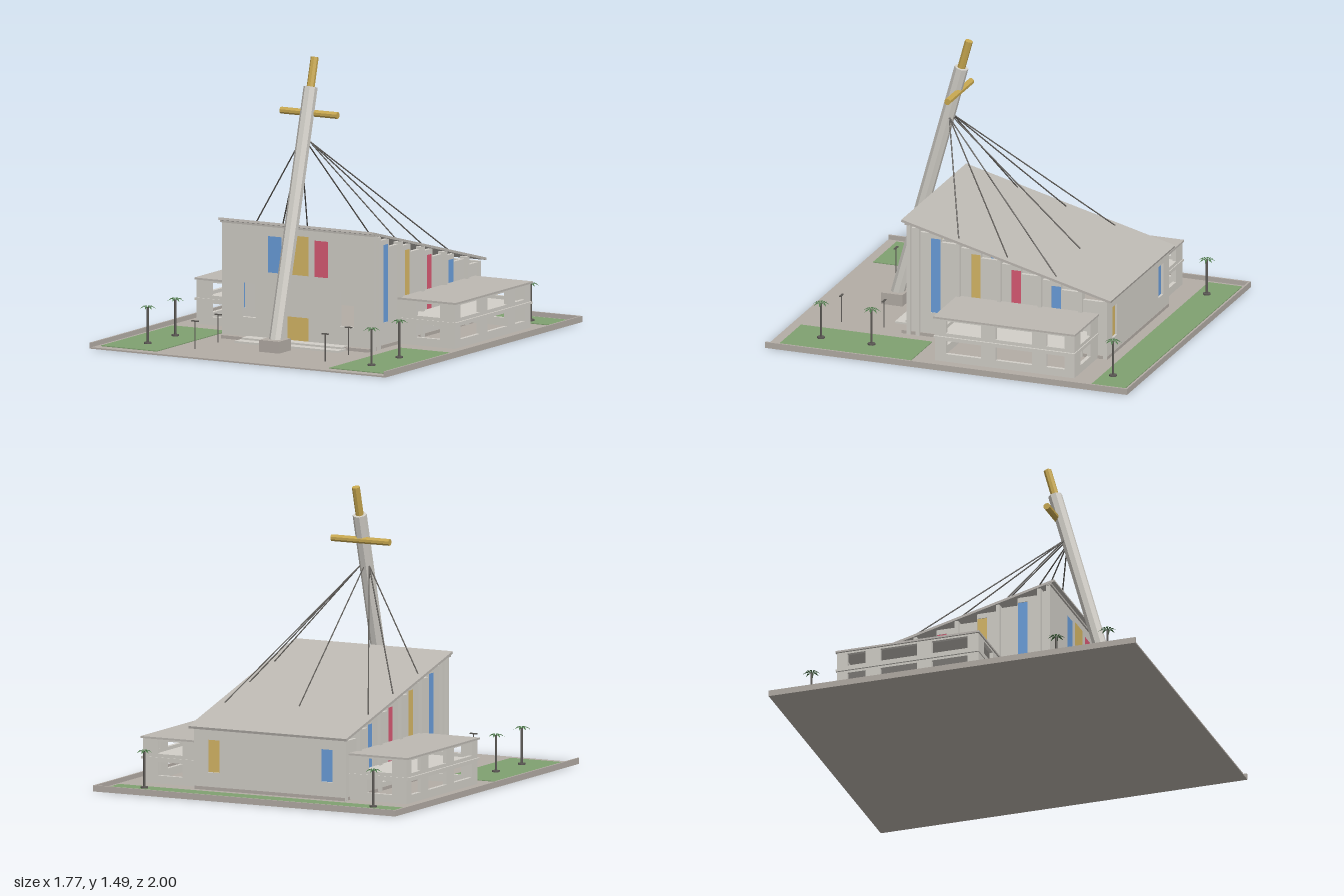
import * as THREE from 'three';

const mat = (name, color, double) => {
  const m = new THREE.MeshStandardMaterial({ color });
  m.name = name;
  if (double) m.side = THREE.DoubleSide;
  return m;
};

export function createModel() {
  const model = new THREE.Group();
  model.name = 'church';
  const M = {
    wall: mat('pale concrete', 0xd2cfc8),
    ground: mat('paving', 0xb3aca5),
    roof: mat('roof', 0xbcb8b2),
    grass: mat('grass', 0x7fa070),
    blue: mat('blue glass', 0x6a9edb),
    amber: mat('amber glass', 0xd6b766),
    red: mat('red glass', 0xd95a74),
    gold: mat('gold', 0xc8a850),
    metal: mat('dark metal', 0x5c5955),
    leaf: mat('palm leaf', 0x4f7a4c, true),
  };
  const add = (name, geo, m, parent = model) => {
    const mesh = new THREE.Mesh(geo, m);
    mesh.name = name;
    parent.add(mesh);
    return mesh;
  };
  // Box given by its minimum and maximum on each axis
  const box = (name, m, x0, x1, y0, y1, z0, z1, parent) => {
    const mesh = add(name, new THREE.BoxGeometry(x1 - x0, y1 - y0, z1 - z0), m, parent);
    mesh.position.set((x0 + x1) / 2, (y0 + y1) / 2, (z0 + z1) / 2);
    return mesh;
  };
  // Round bar between two points
  const bar = (name, m, a, b, r, sides = 8, parent = model) => {
    const d = b.clone().sub(a);
    const geo = new THREE.CylinderGeometry(r, r, d.length(), sides).rotateY(Math.PI / sides).toNonIndexed();
    geo.computeVertexNormals();
    const mesh = add(name, geo, m, parent);
    mesh.position.copy(a).add(b).multiplyScalar(0.5);
    mesh.quaternion.setFromUnitVectors(new THREE.Vector3(0, 1, 0), d.normalize());
    return mesh;
  };
  const V = (x, y, z) => new THREE.Vector3(x, y, z);
  // Wall with rectangular holes [u0, u1, v0, v1, glass]; u runs along x, or along z on side walls
  const wall = (name, u0, u1, v0, v1, holes, at, side = false, t = 0.02) => {
    const path = (p, a, b, c, d) => p.moveTo(a, c).lineTo(b, c).lineTo(b, d).lineTo(a, d).lineTo(a, c);
    const shape = path(new THREE.Shape(), u0, u1, v0, v1);
    holes.forEach(([a, b, c, d, glass]) => {
      shape.holes.push(path(new THREE.Path(), a, b, c, d));
      if (!glass) return;
      const p = at + (side ? Math.sign(at) * (t / 2 - 0.008) : t / 2 - 0.004);
      if (side) box('sideWindow', glass, p - 0.004, p + 0.004, c, d, a, b);
      else box('window', glass, a, b, c, d, p - 0.004, p + 0.004);
    });
    const geo = new THREE.ExtrudeGeometry(shape, { depth: t, bevelEnabled: false }).translate(0, 0, -t / 2);
    if (side) geo.rotateY(-Math.PI / 2);
    const mesh = add(name, geo, M.wall);
    mesh.position[side ? 'x' : 'z'] = at;
    return mesh;
  };

  // Site slab, kerbs on three sides and lawns
  box('siteSlab', M.ground, -0.885, 0.885, 0, 0.008, -1, 1);
  box('backKerb', M.ground, -0.885, 0.885, 0, 0.032, -1, -0.99);
  for (const s of [-1, 1]) {
    box('sideKerb', M.ground, s * 0.88 - 0.005, s * 0.88 + 0.005, 0, 0.032, -0.99, 1);
    box('frontLawn', M.grass, s * 0.682 - 0.167, s * 0.682 + 0.167, 0.008, 0.012, 0.22, 0.945);
  }
  box('backLawn', M.grass, -0.85, 0.85, 0.008, 0.012, -0.965, -0.78);

  // Nave floor and entrance steps
  box('naveFloor', M.ground, -0.44, 0.44, 0.008, 0.025, -0.72, 0.42);
  box('lowerStep', M.wall, -0.31, 0.31, 0.008, 0.018, 0.385, 0.505);
  box('upperStep', M.wall, -0.3, 0.3, 0.018, 0.028, 0.385, 0.45);

  // Front and back walls
  wall('frontWall', -0.455, 0.455, 0.01, 0.615, [
    [-0.18, -0.1, 0.37, 0.56, M.blue],
    [-0.063, 0.063, 0.37, 0.575, M.amber],
    [0.1, 0.18, 0.37, 0.56, M.red],
    [-0.063, 0.063, 0.025, 0.15, M.amber],
    [-0.335, -0.25, 0.125, 0.305],
    [0.25, 0.335, 0.125, 0.305],
  ], 0.376);
  wall('backWall', -0.445, 0.445, 0.01, 0.325, [
    [-0.365, -0.295, 0.1, 0.27, M.blue],
    [0.295, 0.365, 0.1, 0.27, M.amber],
  ], -0.708).children;

  // Sloping roof with a beam under its high edge
  const roofY = z => 0.638 - 0.2593 * (0.41 - z);
  const roof = add('roof', new THREE.BoxGeometry(0.924, 0.013, 1.195), M.roof);
  roof.position.set(0, roofY(-0.1665) - 0.007, -0.1665);
  roof.rotation.x = -Math.atan(0.2593);
  box('frontBeam', M.roof, -0.46, 0.46, 0.61, 0.625, 0.37, 0.395);

  // Side walls: fins with stepped panels and tall windows between them
  const glass = [M.blue, M.amber, M.red, M.blue];
  for (const s of [-1, 1]) {
    const x = s * 0.425;
    wall('cornerPanel', 0.325, 0.37, 0.01, 0.59, [], x, true);
    for (let i = 0; i < 5; i++) {
      const z = 0.326 - 0.225 * i;
      box('sideFin', M.wall, s * 0.433 - 0.022, s * 0.433 + 0.022, 0.01, roofY(z) - 0.016, z - 0.01, z + 0.01);
      if (i === 4) continue;
      const top = 0.573 - 0.058 * i;
      const wz = 0.231 - 0.2215 * i;
      wall('highPanel', wz - 0.029, z, 0.01, top, [[wz - 0.027, wz + 0.027, 0.14, top - 0.027, glass[i]]], x, true);
      const low = i === 1 || i === 2 ? [[wz - 0.095, wz - 0.042, 0.05, 0.1]] : [];
      wall('lowPanel', z - 0.225, wz - 0.029, 0.01, top - 0.043, low, x, true);
    }
    wall('rearPanel', -0.715, -0.574, 0.01, 0.318, [], x, true);
  }

  // Two-storey side wings with open windows
  const bays = [[-0.15, 0.045], [-0.43, -0.23], [-0.61, -0.51]];
  for (const s of [-1, 1]) {
    const span = (a, b) => (s > 0 ? [a, b] : [-b, -a]);
    const [x0, x1] = span(0.435, 0.772);
    for (const [y0, y1, h0, h1] of [[0.01, 0.135, 0.052, 0.123], [0.147, 0.245, 0.165, 0.232]]) {
      const hole = [...span(0.54, 0.685), h0, h1];
      wall('wingFrontWall', x0, x1, y0, y1, [hole], 0.095);
      wall('wingBackWall', x0, x1, y0, y1, [hole], -0.655);
      wall('wingSideWall', -0.645, 0.085, y0, y1, bays.map(b => [...b, h0, h1]), s * 0.762, true);
    }
    const [r0, r1] = span(0.435, 0.782);
    box('wingMiddleSlab', M.wall, r0, r1, 0.135, 0.147, -0.67, 0.11);
    box('wingRoof', M.roof, r0, r1, 0.242, 0.252, -0.672, 0.112);
  }

  // Leaning mast on a footing, carrying the gold cross
  const axis = y => V(0, y, 0.607 - 0.276 * (y - 0.07));
  box('mastFooting', M.ground, -0.06, 0.06, 0.008, 0.07, 0.56, 0.68);
  bar('mast', M.wall, axis(0.05), axis(1.337), 0.037);
  bar('crossUpright', M.gold, axis(1.33), axis(1.487), 0.021);
  bar('crossArm', M.gold, V(-0.17, 1.203, 0.27), V(0.17, 1.203, 0.27), 0.018);

  // Stay cables from the mast to the roof
  for (const s of [-1, 1]) {
    for (const z of [0.11, -0.16, -0.43]) {
      bar('stayCable', M.metal, V(s * 0.025, 1.065, 0.315), V(s * 0.42, roofY(z), z), 0.0035, 6);
    }
  }
  bar('middleCable', M.metal, V(0, 1.065, 0.31), V(0, roofY(-0.4), -0.4), 0.0035, 6);

  // Palm trees
  const frond = new THREE.BufferGeometry();
  frond.setAttribute('position', new THREE.Float32BufferAttribute(
    [0, 0, 0, 0.025, 0.008, 0.007, 0.025, 0.008, -0.007, 0.047, -0.004, 0], 3));
  frond.setIndex([0, 1, 2, 2, 1, 3]);
  frond.computeVertexNormals();
  for (const s of [-1, 1]) {
    for (const z of [-0.84, 0.495, 0.775]) {
      const palm = new THREE.Group();
      palm.name = 'palm';
      palm.position.set(s * 0.67, 0.01, z);
      model.add(palm);
      bar('planter', M.metal, V(0, 0, 0), V(0, 0.01, 0), 0.02, 10, palm);
      bar('trunk', M.metal, V(0, 0, 0), V(0, 0.192, 0), 0.006, 7, palm);
      for (let i = 0; i < 8; i++) {
        const f = add('frond', frond, M.leaf, palm);
        f.position.y = 0.19;
        f.rotation.y = (i * Math.PI) / 4 + 0.2;
      }
    }
    // Lamp posts
    for (const z of [0.535, 0.77]) {
      bar('lampPost', M.metal, V(s * 0.39, 0.008, z), V(s * 0.39, 0.152, z), 0.0035, 6);
      box('lampHead', M.metal, s * 0.39 - 0.02, s * 0.39 + 0.02, 0.15, 0.156, z - 0.005, z + 0.005);
    }
  }
  return model;
}
